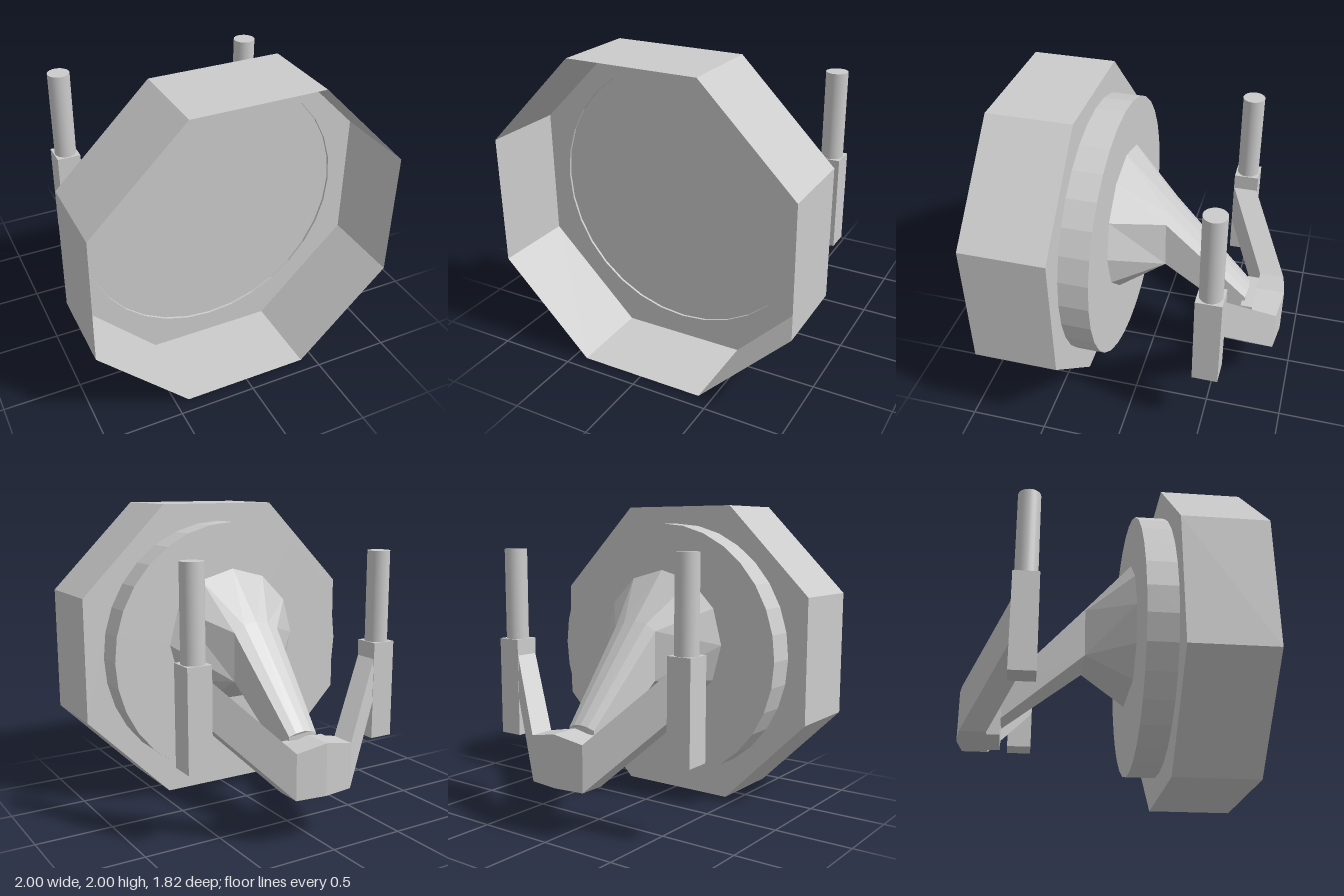
import * as THREE from 'three';
import { ConvexGeometry } from 'three/addons/geometries/ConvexGeometry.js';

const grey = new THREE.MeshStandardMaterial({ color: 0xcccccc, flatShading: true, side: THREE.DoubleSide });
const smoothGrey = new THREE.MeshStandardMaterial({ color: 0xcccccc });

// Skin between rings of equal point count, with the last ring closed
function loft(rings) {
  const n = rings[0].length;
  const index = [];
  for (let r = 0; r < rings.length - 1; r++) {
    for (let i = 0; i < n; i++) {
      const j = (i + 1) % n, a = r * n + i, b = r * n + j;
      index.push(a, a + n, b, b, a + n, b + n);
    }
  }
  const last = (rings.length - 1) * n;
  for (let i = 1; i < n - 1; i++) index.push(last, last + i + 1, last + i);
  const geo = new THREE.BufferGeometry();
  geo.setAttribute('position', new THREE.Float32BufferAttribute(rings.flat(2), 3));
  geo.setIndex(index);
  const flat = geo.toNonIndexed();
  flat.computeVertexNormals();
  return flat;
}

// Mirror a half outline (top to bottom on +x, first point on the centre line)
function mirrorRing(half, z) {
  const right = half.map(([x, y, dz = 0]) => [x, y, z + dz]);
  const left = right.slice(1).reverse().map(([x, y, zz]) => [-x, y, zz]);
  return [...right, ...left].reverse();
}

const hull = (points) => new ConvexGeometry(points.map((p) => new THREE.Vector3(...p)));

export function createModel() {
  const model = new THREE.Group();
  model.name = 'wallMountedDish';
  const add = (name, geo, x = 0, y = 0, z = 0, mat = grey) => {
    const mesh = new THREE.Mesh(geo, mat);
    mesh.name = name;
    mesh.position.set(x, y, z);
    model.add(mesh);
    return mesh;
  };

  // Octagonal hood, thin walled and open at the front
  const R = 1 / Math.cos(Math.PI / 8);
  const hood = new THREE.CylinderGeometry(R, R, 0.54, 8, 1, true);
  hood.rotateY(Math.PI / 8).rotateX(Math.PI / 2);
  add('octagonHood', hood, 0, 1, 0.64);

  // Floor of the hood, with a round opening for the drum
  const floor = new THREE.Shape();
  for (let i = 0; i < 8; i++) {
    const a = Math.PI / 8 + (i * Math.PI) / 4;
    floor[i ? 'lineTo' : 'moveTo'](R * Math.cos(a), R * Math.sin(a));
  }
  const hole = new THREE.Path();
  hole.absarc(0, 0.012, 0.87, 0, Math.PI * 2, true);
  floor.holes.push(hole);
  add('hoodFloor', new THREE.ShapeGeometry(floor, 16), 0, 1, 0.37);

  // Drum behind the hood, its front face slightly recessed
  const drum = new THREE.CylinderGeometry(0.87, 0.87, 0.19, 32, 1, true);
  drum.rotateX(Math.PI / 2);
  add('drumWall', drum, 0, 1.012, 0.275);
  add('drumFrontFace', new THREE.CircleGeometry(0.87, 32), 0, 1.012, 0.355);
  add('drumBackFace', new THREE.CircleGeometry(0.87, 32).rotateY(Math.PI), 0, 1.012, 0.18);

  // Neck: flared twelve-sided foot narrowing into a sloping arm
  const foot = [];
  for (let i = 0; i < 6; i++) {
    const a = (i * Math.PI) / 6;
    foot.push([0.48 * Math.sin(a), 1.09 + 0.48 * Math.cos(a)]);
  }
  const section = (w, top, shoulder, bottom, bow = 0) => [
    [0, top, -bow], [w * 0.55, top - (top - shoulder) * 0.3, -bow * 0.7],
    [w, shoulder], [w, bottom], [w, bottom], [w, bottom],
  ];
  add('neck', loft([
    mirrorRing(foot, 0.18),
    mirrorRing(section(0.165, 1.25, 1.19, 0.865), -0.12),
    mirrorRing(section(0.1, 0.65, 0.625, 0.42, 0.012), -0.66),
  ]));

  // Collar and centre of the yoke
  add('yokeCollar', new THREE.BoxGeometry(0.31, 0.29, 0.1), 0, 0.455, -0.69);
  const centre = [];
  for (const [x, top, back] of [[-0.2, 0.6, -0.885], [0, 0.64, -0.91], [0.2, 0.6, -0.885]]) {
    for (const y of [0.31, top]) centre.push([x, y, -0.72], [x, y, back]);
  }
  add('yokeCentre', hull(centre));

  // Yoke arms, end blocks and upright posts on both sides
  for (const [side, s] of [['left', 1], ['right', -1]]) {
    const arm = [];
    for (const [x, y, front, back] of [[0.2, 0.31, -0.72, -0.885], [0.6, 0.73, -0.44, -0.6]]) {
      for (const h of [0, 0.29]) arm.push([s * x, y + h, front], [s * x, y + h, back]);
    }
    add(side + 'YokeArm', hull(arm));
    add(side + 'EndBlock', new THREE.BoxGeometry(0.16, 0.64, 0.165), s * 0.68, 0.805, -0.52);
    add(side + 'Post', new THREE.CylinderGeometry(0.073, 0.073, 0.59, 24), s * 0.68, 1.42, -0.52, smoothGrey);
  }
  return model;
}
